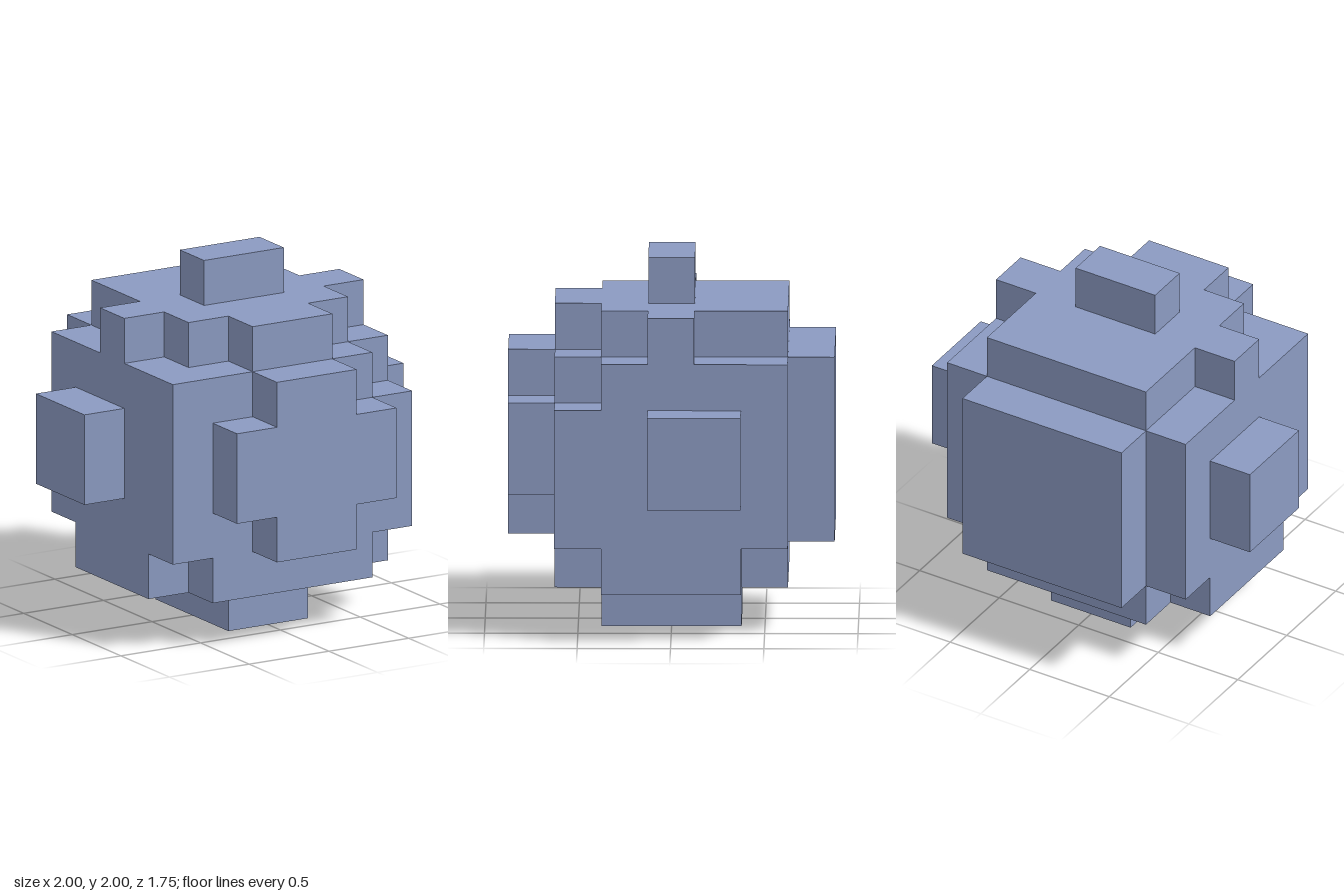
import * as THREE from 'three';

const blue = new THREE.MeshStandardMaterial({ color: 0x8b9ac1 });
blue.name = 'slate blue';

export function createModel() {
  const group = new THREE.Group();
  group.name = 'blockSphere';

  const add = (name, geometry) => {
    const mesh = new THREE.Mesh(geometry, blue);
    mesh.name = name;
    group.add(mesh);
  };

  // Box given by its minimum and maximum corners
  const box = (name, [x0, y0, z0], [x1, y1, z1]) => {
    const g = new THREE.BoxGeometry(x1 - x0, y1 - y0, z1 - z0);
    g.translate((x0 + x1) / 2, (y0 + y1) / 2, (z0 + z1) / 2);
    add(name, g);
  };

  const outline = (points) => new THREE.Shape(points.map(([a, b]) => new THREE.Vector2(a, b)));
  const mirrored = (half) => [...half, ...half.map(([a, b]) => [-a, b]).reverse()];

  // Horizontal slab from an (x, z) outline
  const layer = (name, points, y0, y1) => {
    const g = new THREE.ExtrudeGeometry(outline(points), { depth: y1 - y0, bevelEnabled: false });
    g.rotateX(Math.PI / 2).translate(0, y1, 0);
    add(name, g);
  };

  // Core: bottom layer with cut corners, full middle, upper band with one notched corner
  layer('bottomLayer', mirrored([
    [0.5, -0.625], [0.5, -0.375], [0.75, -0.375], [0.75, 0.375], [0.5, 0.375], [0.5, 0.625],
  ]), 0.25, 0.5);
  box('middleBody', [-0.75, 0.5, -0.625], [0.75, 1.25, 0.625]);
  layer('upperBody', [
    [-0.75, -0.625], [0.75, -0.625], [0.75, 0.375], [0.5, 0.375], [0.5, 0.625], [-0.75, 0.625],
  ], 1.25, 1.5);
  layer('topLayer', mirrored([
    [0.5, -0.625], [0.5, -0.125], [0.75, -0.125], [0.75, 0.125],
    [0.5, 0.125], [0.5, 0.375], [0.25, 0.375], [0.25, 0.625],
  ]), 1.5, 1.75);

  // Top and bottom caps
  box('topCap', [-0.25, 1.75, -0.125], [0.25, 2, 0.125]);
  box('bottomCap', [-0.25, 0, -0.375], [0.25, 0.25, 0.375]);

  // Side bumps
  box('leftBump', [0.75, 0.75, -0.375], [1, 1.25, 0.125]);
  box('rightBump', [-1, 0.75, -0.375], [-0.75, 1.25, 0.125]);

  // Back plate and cross-shaped front plate
  box('backPlate', [-0.5, 0.5, -0.875], [0.5, 1.5, -0.625]);
  const front = new THREE.ExtrudeGeometry(outline(mirrored([
    [0.25, 0.5], [0.25, 0.75], [0.5, 0.75], [0.5, 1.25], [0.25, 1.25], [0.25, 1.5],
  ])), { depth: 0.25, bevelEnabled: false });
  add('frontPlate', front.translate(0, 0, 0.625));

  return group;
}
